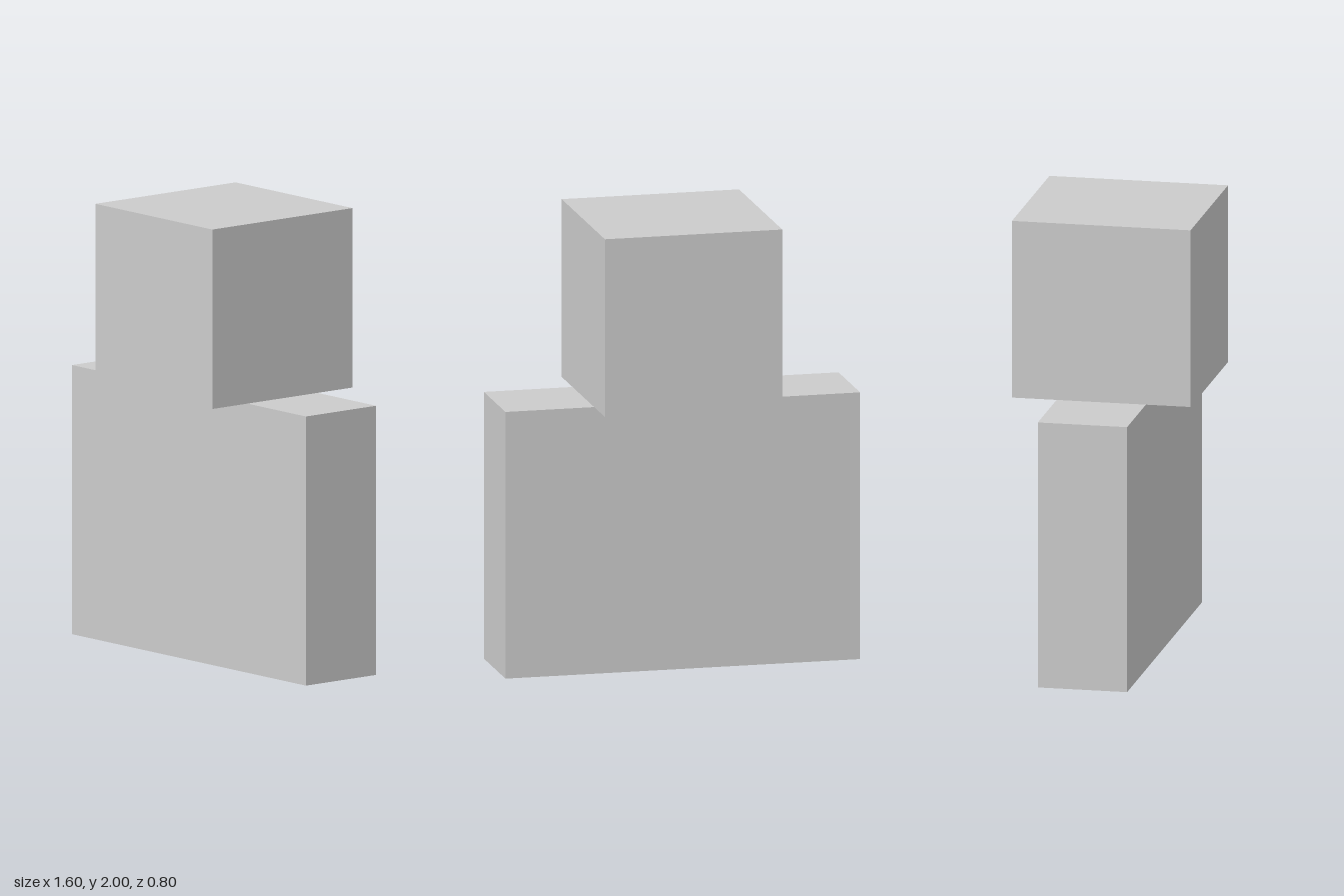
import * as THREE from 'three';

export function createModel() {
  const model = new THREE.Group();
  model.name = 'blockFigure';
  const material = new THREE.MeshStandardMaterial({ color: 0xcccccc, flatShading: true });

  // Adds a box standing on the given height
  function addBlock(name, width, height, depth, bottom) {
    const mesh = new THREE.Mesh(new THREE.BoxGeometry(width, height, depth), material);
    mesh.name = name;
    mesh.position.y = bottom + height / 2;
    model.add(mesh);
  }

  addBlock('body', 1.6, 1.2, 0.4, 0); // wide, thin slab
  addBlock('head', 0.8, 0.8, 0.8, 1.2); // cube overhanging front and back

  return model;
}
